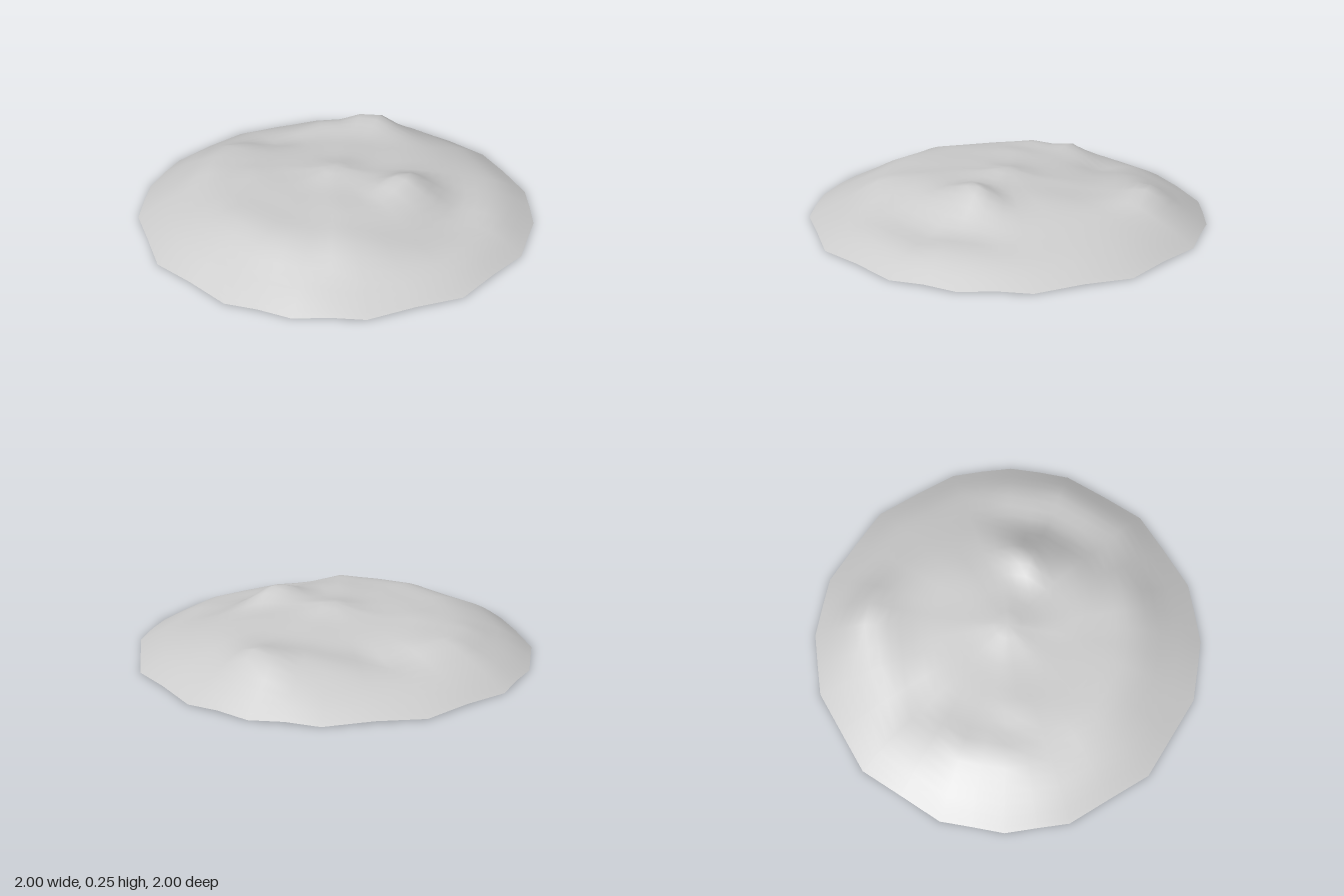
import * as THREE from 'three';

// Mound heights on 16 spokes (starting at +x, turning towards +z),
// at radii 0.25, 0.45, 0.65 and 0.85.
const SPOKES = [
  [0.185, 0.175, 0.14, 0.08],
  [0.19, 0.165, 0.125, 0.075],
  [0.2, 0.185, 0.1, 0.07],
  [0.2, 0.2, 0.1, 0.08],
  [0.195, 0.185, 0.12, 0.078],
  [0.195, 0.195, 0.165, 0.07],
  [0.195, 0.185, 0.165, 0.08],
  [0.19, 0.185, 0.17, 0.075],
  [0.19, 0.18, 0.165, 0.095],
  [0.185, 0.18, 0.155, 0.09],
  [0.185, 0.17, 0.155, 0.085],
  [0.18, 0.17, 0.155, 0.09],
  [0.175, 0.15, 0.115, 0.07],
  [0.175, 0.155, 0.145, 0.08],
  [0.18, 0.165, 0.17, 0.1],
  [0.18, 0.165, 0.16, 0.085],
];
const RADII = [0.25, 0.45, 0.65, 0.85];
const CENTRE = 0.195;
const RINGS = 18;

// Small knolls and hollows: x, z, extra height, spread
const KNOLLS = [
  [0, 0, 0.027, 0.11],
  [0.57, -0.46, 0.06, 0.1],
  [0.24, 0.3, 0.036, 0.08],
  [0.13, 0.31, 0.036, 0.08],
  [-0.25, 0.61, 0.012, 0.1],
  [-0.31, -0.62, 0.025, 0.09],
  [-0.5, -0.46, 0.022, 0.1],
  [-0.33, -0.28, 0.012, 0.09],
  [-0.17, -0.56, 0.016, 0.08],
  [-0.01, -0.58, -0.025, 0.1],
  [0.3, -0.6, 0.01, 0.1],
  [0.49, 0.57, 0.025, 0.1],
];

// Rim corners: points of a square grid pushed out to the unit circle
function rimCorner(k) {
  const turn = Math.floor(k / 4) * Math.PI / 2;
  const a = [0, Math.atan(0.5), Math.PI / 4, Math.atan(2)][k % 4] + turn;
  return new THREE.Vector2(Math.cos(a), Math.sin(a));
}

// Spoke s of 32: even ones are given, odd ones are blended from neighbours
function spoke(s) {
  const at = k => (k + 16) % 16;
  const k = Math.floor(s / 2);
  if (s % 2 === 0) return { rim: rimCorner(k), heights: SPOKES[k], edge: 0 };
  const [a, b, c, d] = [k - 1, k, k + 1, k + 2].map(i => SPOKES[at(i)]);
  return {
    rim: rimCorner(k).add(rimCorner(at(k + 1))).multiplyScalar(0.5),
    heights: b.map((h, i) => (9 * (h + c[i]) - a[i] - d[i]) / 16),
    edge: 0.008,
  };
}

function moundGeometry() {
  const positions = [];
  const index = [];
  const addPoint = (x, y, z) => {
    for (const [kx, kz, h, w] of KNOLLS) {
      y += h * Math.exp(-((x - kx) ** 2 + (z - kz) ** 2) / (w * w));
    }
    positions.push(x, y, z);
  };
  addPoint(0, CENTRE, 0);
  for (let s = 0; s < 32; s++) {
    const { rim, heights, edge } = spoke(s);
    // The profile starts on the opposite spoke so it runs smoothly over the top
    const profile = new THREE.SplineCurve([
      new THREE.Vector2(-RADII[0], spoke((s + 16) % 32).heights[0]),
      new THREE.Vector2(0, CENTRE),
      ...heights.map((h, i) => new THREE.Vector2(RADII[i], h)),
      new THREE.Vector2(1, edge),
    ]);
    for (let r = 1; r <= RINGS; r++) {
      const p = profile.getPoint((1 + 5 * r / RINGS) / 6);
      addPoint(rim.x * p.x, p.y, rim.y * p.x);
    }
    // Faces between this spoke and the next
    const a = 1 + s * RINGS, b = 1 + ((s + 1) % 32) * RINGS;
    index.push(0, b, a);
    for (let r = 0; r < RINGS - 1; r++) {
      index.push(a + r, b + r, a + r + 1, b + r, b + r + 1, a + r + 1);
    }
  }
  const geometry = new THREE.BufferGeometry();
  geometry.setAttribute('position', new THREE.Float32BufferAttribute(positions, 3));
  geometry.setIndex(index);
  geometry.computeVertexNormals();
  return geometry;
}

export function createModel() {
  const group = new THREE.Group();
  group.name = 'groundMound';
  // Open shell, seen from above and below
  const stone = new THREE.MeshStandardMaterial({ color: 0xcccccc, side: THREE.DoubleSide });
  stone.name = 'paleGrey';
  const mound = new THREE.Mesh(moundGeometry(), stone);
  mound.name = 'mound';
  group.add(mound);
  return group;
}
